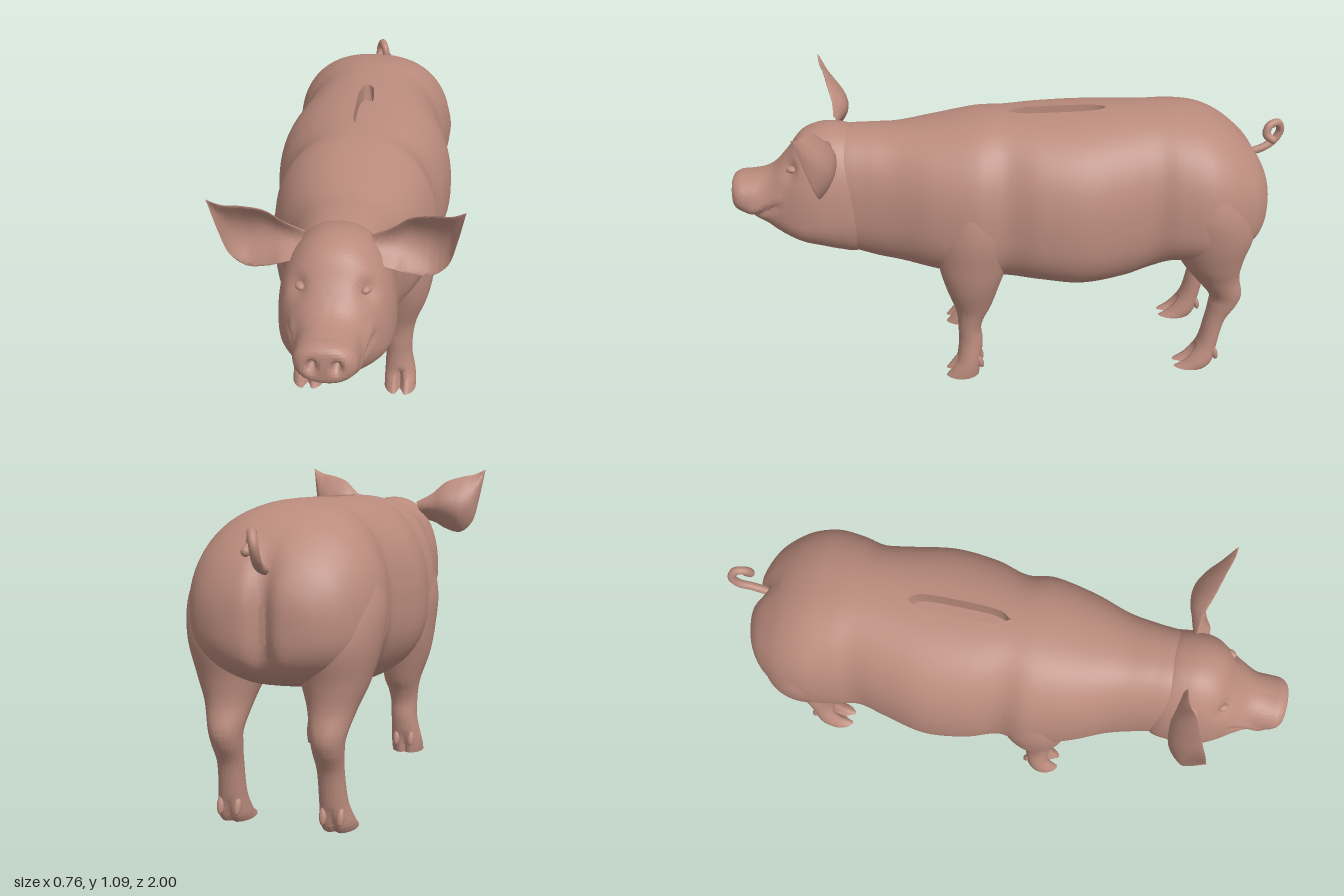
import * as THREE from 'three';
import { toCreasedNormals } from 'three/addons/utils/BufferGeometryUtils.js';

const skin = new THREE.MeshStandardMaterial({ color: 0xba8b7d });
skin.name = 'pinkSkin';

const V = (x, y, z) => new THREE.Vector3(x, y, z);
const bump = (d, r) => Math.exp(-(d * d) / (r * r));
const clamp = THREE.MathUtils.clamp;

// Smoothly interpolate a list of key sections into n + 1 sections
function sample(keys, n) {
  const out = [];
  for (let i = 0; i <= n; i++) {
    const f = (i / n) * (keys.length - 1);
    const k = Math.min(Math.floor(f), keys.length - 2);
    const t = f - k;
    const at = (j) => keys[clamp(j, 0, keys.length - 1)];
    out.push(keys[k].map((_, c) => {
      const [a, b, d, e] = [at(k - 1)[c], at(k)[c], at(k + 1)[c], at(k + 2)[c]];
      return b + 0.5 * t * (d - a + t * (2 * a - 5 * b + 4 * d - e + t * (3 * (b - d) + e - a)));
    }));
  }
  return out;
}

// Skin a list of closed rings
function skinRings(rings, flip = false) {
  const pos = [], index = [], m = rings[0].length;
  rings.forEach((ring) => ring.forEach((p) => pos.push(p.x, p.y, p.z)));
  for (let i = 0; i < rings.length - 1; i++) {
    for (let j = 0; j < m; j++) {
      const a = i * m + j, b = i * m + (j + 1) % m, c = a + m, d = b + m;
      if (flip) index.push(a, b, c, b, d, c);
      else index.push(a, c, b, b, c, d);
    }
  }
  const g = new THREE.BufferGeometry();
  g.setAttribute('position', new THREE.Float32BufferAttribute(pos, 3));
  g.setIndex(index);
  return toCreasedNormals(g, 1.0);
}

const angles = (n) => Array.from({ length: n }, (_, j) => (j / n) * Math.PI * 2);

// Rounded cross-section point; section = [z, top, bottom, halfWidth, widestY]
function hull([z, top, bot, hw, mid], t, e) {
  const s = Math.sin(t), c = Math.cos(t);
  const y = mid + (c > 0 ? top - mid : mid - bot) * Math.sign(c) * Math.abs(c) ** e;
  return V(hw * Math.sign(s) * Math.abs(s) ** e, y, z);
}

// Torso with the coin slot sunk into its back
function bodyGeometry() {
  const keys = [
    [-0.94, 0.66, 0.66, 0, 0.66], [-0.935, 0.74, 0.59, 0.1, 0.66], [-0.915, 0.8, 0.54, 0.17, 0.66],
    [-0.87, 0.87, 0.5, 0.235, 0.66], [-0.8, 0.935, 0.465, 0.283, 0.66], [-0.74, 0.974, 0.45, 0.305, 0.66],
    [-0.67, 1.0, 0.45, 0.314, 0.66], [-0.58, 1.013, 0.45, 0.3, 0.66], [-0.5, 1.015, 0.41, 0.28, 0.66],
    [-0.4, 1.013, 0.378, 0.3, 0.65], [-0.25, 1.01, 0.365, 0.331, 0.64], [-0.1, 1.007, 0.382, 0.316, 0.64],
    [0.02, 1.004, 0.39, 0.278, 0.64], [0.12, 0.998, 0.398, 0.293, 0.64], [0.27, 0.974, 0.42, 0.258, 0.66],
    [0.4, 0.957, 0.443, 0.205, 0.68], [0.5, 0.957, 0.462, 0.18, 0.7], [0.6, 0.95, 0.5, 0.162, 0.72],
    [0.66, 0.9, 0.56, 0.12, 0.74], [0.68, 0.74, 0.74, 0, 0.74],
  ];
  const E = 0.85, half = 36;
  const rings = sample(keys, 190).map((s) => {
    const k = (s[0] + 0.17) / 0.17;
    const inSlot = Math.abs(k) < 1;
    const w = inSlot ? 0.03 * Math.sqrt(1 - k ** 4) : 0;
    const depth = inSlot ? 0.06 : 0;
    const t0 = w ? Math.asin((w / s[3]) ** (1 / E)) : 0;
    const side = [[0, depth], [t0, depth]];
    for (let j = 0; j <= half; j++) side.push([t0 + (Math.PI - t0) * j / half, 0]);
    const loop = side.concat(side.slice(1, -1).reverse().map(([t, d]) => [-t, d]));
    return loop.map(([t, d]) => {
      const p = hull(s, t, E);
      p.y -= d;
      // cleft between the hams
      p.z += 0.035 * bump(p.x, 0.035) * clamp((-0.8 - p.z) / 0.13, 0, 1);
      return p;
    });
  });
  return skinRings(rings);
}

// Head with snout, nostrils, mouth line and eye sockets
function headGeometry() {
  const keys = [
    [0.52, 0.89, 0.53, 0.14, 0.7], [0.56, 0.95, 0.482, 0.174, 0.68], [0.62, 0.968, 0.494, 0.185, 0.67],
    [0.68, 0.965, 0.515, 0.186, 0.66], [0.74, 0.938, 0.531, 0.173, 0.65], [0.79, 0.876, 0.548, 0.15, 0.655],
    [0.84, 0.822, 0.57, 0.121, 0.675], [0.88, 0.8, 0.6, 0.104, 0.69], [0.93, 0.79, 0.632, 0.099, 0.705],
    [0.965, 0.787, 0.648, 0.094, 0.715], [0.985, 0.78, 0.658, 0.08, 0.716],
    [0.996, 0.765, 0.675, 0.058, 0.718], [1.0, 0.718, 0.718, 0, 0.718],
  ];
  const rings = sample(keys, 144).map((s) => angles(112).map((t) => {
    const p = hull(s, t, 0.9);
    const sx = Math.sign(p.x), ax = Math.abs(p.x);
    // eye socket
    const eye = bump(Math.hypot(ax - 0.115, p.y - 0.845, p.z - 0.78), 0.035);
    p.x -= sx * 0.012 * eye;
    p.z -= 0.012 * eye;
    // mouth line and raised cheek
    if (p.z > 0.78 && p.z < 0.97 && ax > 0.02) {
      const line = 0.645 + 0.62 * (0.93 - p.z);
      const fade = clamp((p.z - 0.8) / 0.03, 0, 1) * clamp((0.965 - p.z) / 0.03, 0, 1);
      p.x -= sx * 0.009 * fade * bump(p.y - line, 0.011);
      p.x += sx * 0.006 * fade * bump(p.y - line - 0.03, 0.02);
    }
    // nostril
    if (p.z > 0.95) p.z -= 0.035 * bump(Math.hypot(ax - 0.036, (p.y - 0.722) * 0.75), 0.014);
    return p;
  }));
  return skinRings(rings);
}

// Leg sections from the top down: [y, z, depthRadius, x, widthRadius]
const FRONT_LEG = [
  [0.86, 0.13, 0, 0.15, 0], [0.77, 0.13, 0.09, 0.165, 0.1], [0.64, 0.13, 0.13, 0.18, 0.12],
  [0.5, 0.14, 0.125, 0.18, 0.108], [0.4, 0.145, 0.1, 0.177, 0.092], [0.3, 0.145, 0.069, 0.164, 0.071],
  [0.25, 0.152, 0.051, 0.166, 0.058], [0.2, 0.158, 0.043, 0.168, 0.051], [0.14, 0.155, 0.045, 0.17, 0.05],
  [0.07, 0.163, 0.047, 0.176, 0.057], [0.03, 0.177, 0.058, 0.178, 0.06], [0.0, 0.19, 0.068, 0.178, 0.06],
];
const HIND_LEG = [
  [0.93, -0.69, 0, 0.14, 0], [0.85, -0.69, 0.1, 0.15, 0.11], [0.72, -0.7, 0.15, 0.167, 0.147],
  [0.6, -0.718, 0.16, 0.17, 0.14], [0.48, -0.735, 0.118, 0.17, 0.108], [0.4, -0.762, 0.085, 0.168, 0.078],
  [0.32, -0.802, 0.062, 0.166, 0.056], [0.27, -0.798, 0.054, 0.165, 0.049], [0.2, -0.774, 0.039, 0.165, 0.043],
  [0.1, -0.754, 0.04, 0.168, 0.046], [0.03, -0.725, 0.059, 0.172, 0.056], [0.0, -0.695, 0.073, 0.172, 0.056],
];

function legGeometry(keys, side) {
  const ringPoint = ([y, z, rz, x, rx], t) => {
    const dx = rx * Math.sin(t);
    let pz = z + rz * Math.cos(t);
    // split between the two toes
    const low = clamp((0.09 - y) / 0.06, 0, 1);
    pz -= low * bump(dx, 0.012) * (Math.cos(t) > 0 ? 0.045 : -0.015);
    return V(side * x + dx, Math.max(y, 0), pz);
  };
  const rings = sample(keys, 88).map((s) => angles(48).map((t) => ringPoint(s, t)));
  const [, z, , x] = keys[keys.length - 1];
  rings.push(angles(48).map(() => V(side * x, 0, z - 0.01)));
  return skinRings(rings);
}

// Cupped ear: [upper edge xyz, lower edge xyz, cup depth]
function earGeometry(side) {
  const keys = [
    [0.1, 0.95, 0.63, 0.13, 0.875, 0.68, 0.025], [0.165, 0.985, 0.64, 0.175, 0.86, 0.68, 0.045],
    [0.22, 1.033, 0.66, 0.22, 0.838, 0.665, 0.06], [0.285, 1.055, 0.68, 0.285, 0.825, 0.65, 0.058],
    [0.33, 1.063, 0.695, 0.335, 0.868, 0.655, 0.04], [0.355, 1.073, 0.702, 0.357, 0.95, 0.675, 0.02],
    [0.38, 1.085, 0.705, 0.38, 1.085, 0.705, 0],
  ];
  const rings = sample(keys, 48).map(([ux, uy, uz, lx, ly, lz, d]) => angles(40).map((t) => {
    const s = (1 - Math.cos(t)) / 2;
    const p = V(ux, uy, uz).lerp(V(lx, ly, lz), s);
    p.z += -d * Math.sin(Math.PI * s) + (0.003 + 0.14 * d) * Math.sin(t);
    p.x *= side;
    return p;
  }));
  return skinRings(rings, side > 0);
}

export function createModel() {
  const pig = new THREE.Group();
  pig.name = 'piggyBank';
  const add = (name, geometry, x = 0, y = 0, z = 0) => {
    const mesh = new THREE.Mesh(geometry, skin);
    mesh.name = name;
    mesh.position.set(x, y, z);
    pig.add(mesh);
    return mesh;
  };

  add('body', bodyGeometry());
  add('head', headGeometry());

  for (const side of [1, -1]) {
    const tag = side > 0 ? 'left' : 'right';
    add(tag + 'Ear', earGeometry(side));
    add(tag + 'FrontLeg', legGeometry(FRONT_LEG, side));
    add(tag + 'HindLeg', legGeometry(HIND_LEG, side));

    // nearly closed eye
    const eye = add(tag + 'Eye', new THREE.SphereGeometry(0.02, 24, 16), side * 0.1, 0.843, 0.768);
    eye.scale.set(0.7, 0.6, 1);
    eye.rotation.y = side * -0.5;

    // dewclaws behind each foot
    for (const [x, z] of [[0.175, 0.122], [0.17, -0.782]]) {
      for (const dx of [-0.028, 0.028]) {
        const claw = add(tag + 'Dewclaw', new THREE.SphereGeometry(0.014, 16, 12), side * x + dx, 0.06, z);
        claw.scale.set(0.9, 2.2, 0.9);
        claw.rotation.x = 0.3;
      }
    }
  }

  // curly tail with a rounded tip
  const path = new THREE.CatmullRomCurve3([
    V(0, 0.82, -0.87), V(0, 0.838, -0.925), V(-0.008, 0.865, -0.968), V(-0.008, 0.905, -0.985),
    V(0.004, 0.938, -0.967), V(0.016, 0.93, -0.935), V(0.024, 0.9, -0.928), V(0.03, 0.882, -0.95),
  ]);
  add('tail', new THREE.TubeGeometry(path, 64, 0.0145, 16));
  add('tailTip', new THREE.SphereGeometry(0.0145, 16, 12), 0.03, 0.882, -0.95);

  return pig;
}
